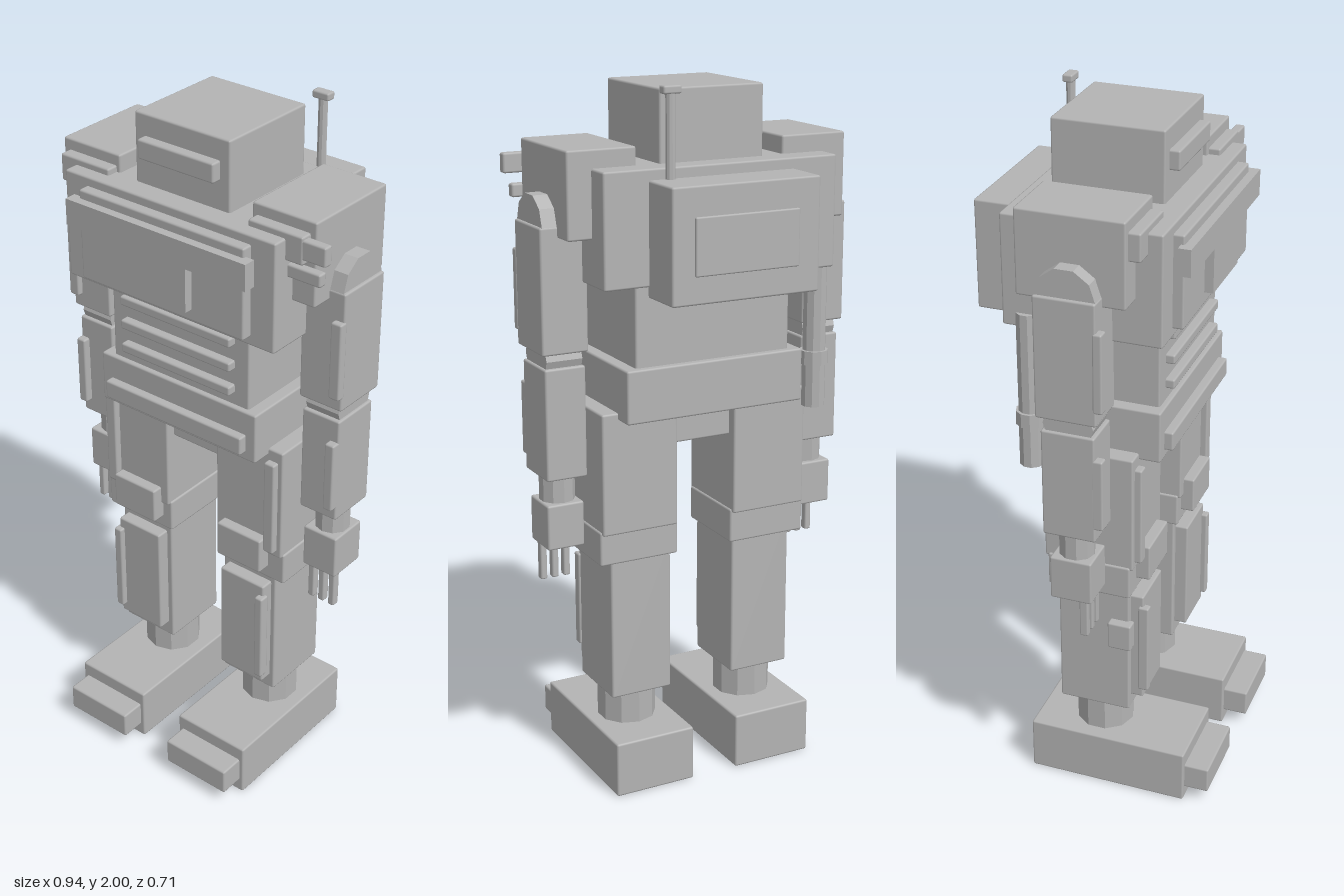
import * as THREE from 'three';
import { RoundedBoxGeometry } from 'three/addons/geometries/RoundedBoxGeometry.js';

const grey = new THREE.MeshStandardMaterial({ color: 0xb4b4b4 });
grey.name = 'plain grey';

// Slightly chamfered box given by its x, y and z limits
function box(parent, name, [x0, x1], [y0, y1], [z0, z1]) {
  const w = x1 - x0, h = y1 - y0, d = z1 - z0;
  const radius = Math.min(0.006, Math.min(w, h, d) * 0.25);
  const mesh = new THREE.Mesh(new RoundedBoxGeometry(w, h, d, 1, radius), grey);
  mesh.position.set((x0 + x1) / 2, (y0 + y1) / 2, (z0 + z1) / 2);
  mesh.name = name;
  parent.add(mesh);
  return mesh;
}

// Faceted cylinder, upright or lying along x
function cylinder(parent, name, radius, length, [x, y, z], sides = 10, alongX = false) {
  let geometry = new THREE.CylinderGeometry(radius, radius, length, sides);
  if (alongX) geometry.rotateZ(Math.PI / 2);
  geometry = geometry.toNonIndexed();
  geometry.computeVertexNormals();
  const mesh = new THREE.Mesh(geometry, grey);
  mesh.position.set(x, y, z);
  mesh.name = name;
  parent.add(mesh);
  return mesh;
}

function group(parent, name) {
  const g = new THREE.Group();
  g.name = name;
  parent.add(g);
  return g;
}

// x limits for one side, measured outward from the centre line
const sideX = (s, a, b) => (s > 0 ? [a, b] : [-b, -a]);

function buildTorso(model) {
  const torso = group(model, 'torso');
  box(torso, 'chest', [-0.35, 0.35], [1.48, 1.79], [-0.22, 0.22]);
  box(torso, 'chestPlate', [-0.275, 0.275], [1.505, 1.765], [0.21, 0.25]);

  // T-shaped breast panel
  const t = new THREE.Shape([
    [-0.3, 1.74], [-0.3, 1.665], [-0.107, 1.665], [-0.107, 1.54],
    [0.107, 1.54], [0.107, 1.665], [0.3, 1.665], [0.3, 1.74],
  ].map(([x, y]) => new THREE.Vector2(x, y)));
  const panel = new THREE.Mesh(
    new THREE.ExtrudeGeometry(t, { depth: 0.035, bevelEnabled: false }), grey);
  panel.position.z = 0.24;
  panel.name = 'breastPanel';
  torso.add(panel);

  // Abdomen with three ribs
  box(torso, 'abdomen', [-0.237, 0.237], [1.24, 1.49], [-0.17, 0.175]);
  for (const y of [1.298, 1.371, 1.444]) {
    box(torso, 'rib', [-0.19, 0.19], [y - 0.014, y + 0.014], [0.165, 0.2]);
  }
  box(torso, 'pelvis', [-0.272, 0.272], [1.1, 1.25], [-0.19, 0.19]);
  box(torso, 'beltPlate', [-0.24, 0.24], [1.125, 1.18], [0.18, 0.215]);
  box(torso, 'crotch', [-0.095, 0.095], [1.0, 1.12], [-0.1, 0.1]);

  // Backpack and antenna
  box(torso, 'backpack', [-0.22, 0.22], [1.45, 1.76], [-0.35, -0.21]);
  box(torso, 'backpackPlate', [-0.155, 0.155], [1.525, 1.68], [-0.357, -0.34]);
  cylinder(torso, 'antenna', 0.013, 0.25, [0.16, 1.865, -0.225]);
  box(torso, 'antennaTip', [0.133, 0.186], [1.978, 2.0], [-0.24, -0.21]);

  // Rod hanging behind the right hip
  cylinder(torso, 'rodUpper', 0.033, 0.3, [-0.332, 1.37, -0.155]);
  cylinder(torso, 'rodCollar', 0.041, 0.04, [-0.332, 1.213, -0.155]);
  cylinder(torso, 'rodLower', 0.034, 0.14, [-0.332, 1.14, -0.155]);
}

function buildHead(model) {
  const head = group(model, 'headGroup');
  box(head, 'head', [-0.156, 0.156], [1.77, 1.985], [-0.156, 0.156]);
  box(head, 'visor', [-0.125, 0.125], [1.87, 1.925], [0.145, 0.185]);
}

function buildArm(model, s) {
  const arm = group(model, s > 0 ? 'leftArm' : 'rightArm');
  box(arm, 'shoulder', sideX(s, 0.22, 0.42), [1.605, 1.84], [-0.15, 0.147]);
  box(arm, 'shoulderPlate', sideX(s, 0.232, 0.402), [1.73, 1.808], [0.137, 0.18]);
  cylinder(arm, 'shoulderJoint', 0.083, 0.12, [s * 0.402, 1.633, 0], 10, true);
  box(arm, 'upperArm', sideX(s, 0.335, 0.47), [1.29, 1.635], [-0.085, 0.085]);
  box(arm, 'upperArmPlate', sideX(s, 0.438, 0.472), [1.33, 1.555], [0.075, 0.102]);
  cylinder(arm, 'elbow', 0.07, 0.105, [s * 0.4, 1.27, 0], 10, true);
  box(arm, 'forearm', sideX(s, 0.34, 0.46), [0.935, 1.25], [-0.075, 0.075]);
  box(arm, 'forearmPlate', sideX(s, 0.43, 0.46), [0.975, 1.185], [0.065, 0.097]);
  cylinder(arm, 'wrist', 0.05, 0.1, [s * 0.4, 0.9, 0]);
  box(arm, 'hand', sideX(s, 0.345, 0.455), [0.73, 0.86], [-0.06, 0.06]);
  for (const x of [0.365, 0.4, 0.435]) {
    box(arm, 'finger', sideX(s, x - 0.01, x + 0.01), [0.615, 0.74], [0.02, 0.045]);
  }
}

function buildLeg(model, s) {
  const leg = group(model, s > 0 ? 'leftLeg' : 'rightLeg');
  box(leg, 'thigh', sideX(s, 0.09, 0.32), [0.77, 1.12], [-0.13, 0.13]);
  box(leg, 'thighPlate', sideX(s, 0.27, 0.305), [0.79, 1.085], [0.12, 0.15]);
  box(leg, 'knee', sideX(s, 0.085, 0.325), [0.68, 0.78], [-0.12, 0.122]);
  box(leg, 'kneePad', sideX(s, 0.117, 0.27), [0.717, 0.825], [0.11, 0.162]);
  box(leg, 'shin', sideX(s, 0.1, 0.287), [0.265, 0.72], [-0.105, 0.107]);
  box(leg, 'shinPlate', sideX(s, 0.117, 0.272), [0.31, 0.657], [0.1, 0.145]);
  box(leg, 'shinStrip', sideX(s, 0.253, 0.28), [0.34, 0.625], [0.13, 0.162]);
  cylinder(leg, 'ankle', 0.085, 0.13, [s * 0.193, 0.215, 0]);
  box(leg, 'foot', sideX(s, 0.07, 0.315), [0, 0.163], [-0.19, 0.285]);
  box(leg, 'toe', sideX(s, 0.083, 0.302), [0.04, 0.12], [0.27, 0.357]);
}

export function createModel() {
  const model = new THREE.Group();
  model.name = 'robot';
  buildTorso(model);
  buildHead(model);
  for (const s of [1, -1]) {
    buildArm(model, s);
    buildLeg(model, s);
  }
  // One-sided fittings
  box(model, 'leftShoulderFitting', [0.385, 0.47], [1.745, 1.8], [0.15, 0.178]);
  box(model, 'leftShoulderPeg', [0.345, 0.45], [1.68, 1.717], [0.142, 0.17]);
  box(model, 'rightShinFitting', [-0.312, -0.275], [0.49, 0.575], [0.05, 0.12]);
  return model;
}
